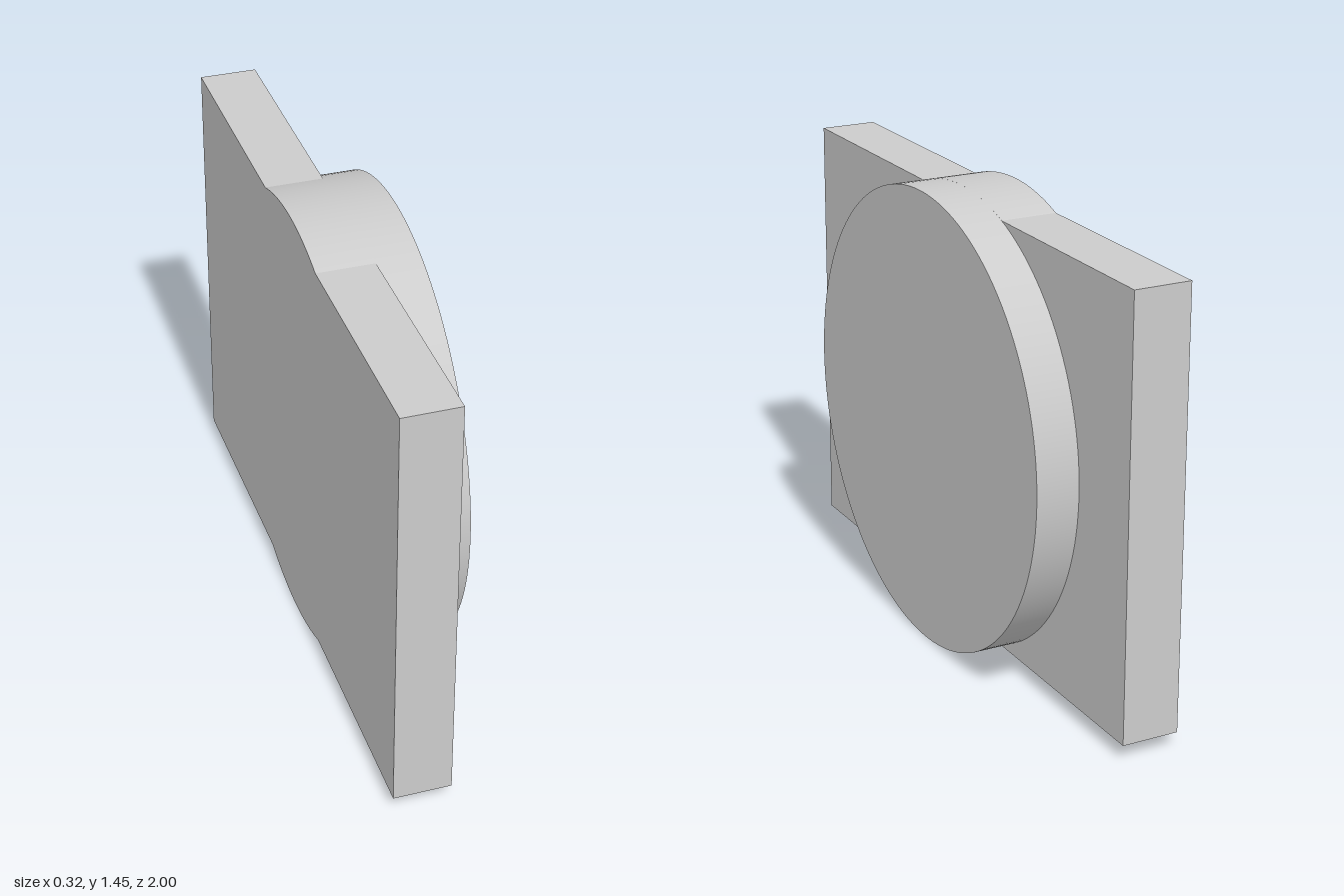
import * as THREE from 'three';
import { toCreasedNormals } from 'three/addons/utils/BufferGeometryUtils.js';

export function createModel() {
  const model = new THREE.Group();
  model.name = 'discOnPlate';
  const grey = new THREE.MeshStandardMaterial({ color: 0xcccccc });
  grey.name = 'grey';

  const radius = 0.727, halfHeight = 0.681, halfLength = 1;
  const backX = -0.159, plateX = 0.022, discX = 0.159;
  const a = Math.asin(halfHeight / radius);

  // Rectangular plate whose top and bottom edges bulge along the disc's rim
  const outline = new THREE.Shape();
  outline.moveTo(-halfLength, halfHeight);
  outline.lineTo(-halfLength, -halfHeight);
  outline.absarc(0, 0, radius, Math.PI + a, 2 * Math.PI - a, false);
  outline.lineTo(halfLength, -halfHeight);
  outline.lineTo(halfLength, halfHeight);
  outline.absarc(0, 0, radius, a, Math.PI - a, false);
  outline.closePath();
  const plateGeometry = new THREE.ExtrudeGeometry(outline, {
    depth: plateX - backX, bevelEnabled: false, curveSegments: 24,
  });
  plateGeometry.rotateY(Math.PI / 2);
  const plate = new THREE.Mesh(toCreasedNormals(plateGeometry, 0.3), grey);
  plate.name = 'plate';
  plate.position.set(backX, radius, 0);
  model.add(plate);

  // Round disc standing proud of the plate
  const discGeometry = new THREE.CylinderGeometry(radius, radius, discX - plateX, 128);
  discGeometry.rotateZ(-Math.PI / 2);
  const disc = new THREE.Mesh(discGeometry, grey);
  disc.name = 'disc';
  disc.position.set((plateX + discX) / 2, radius, 0);
  model.add(disc);

  return model;
}
